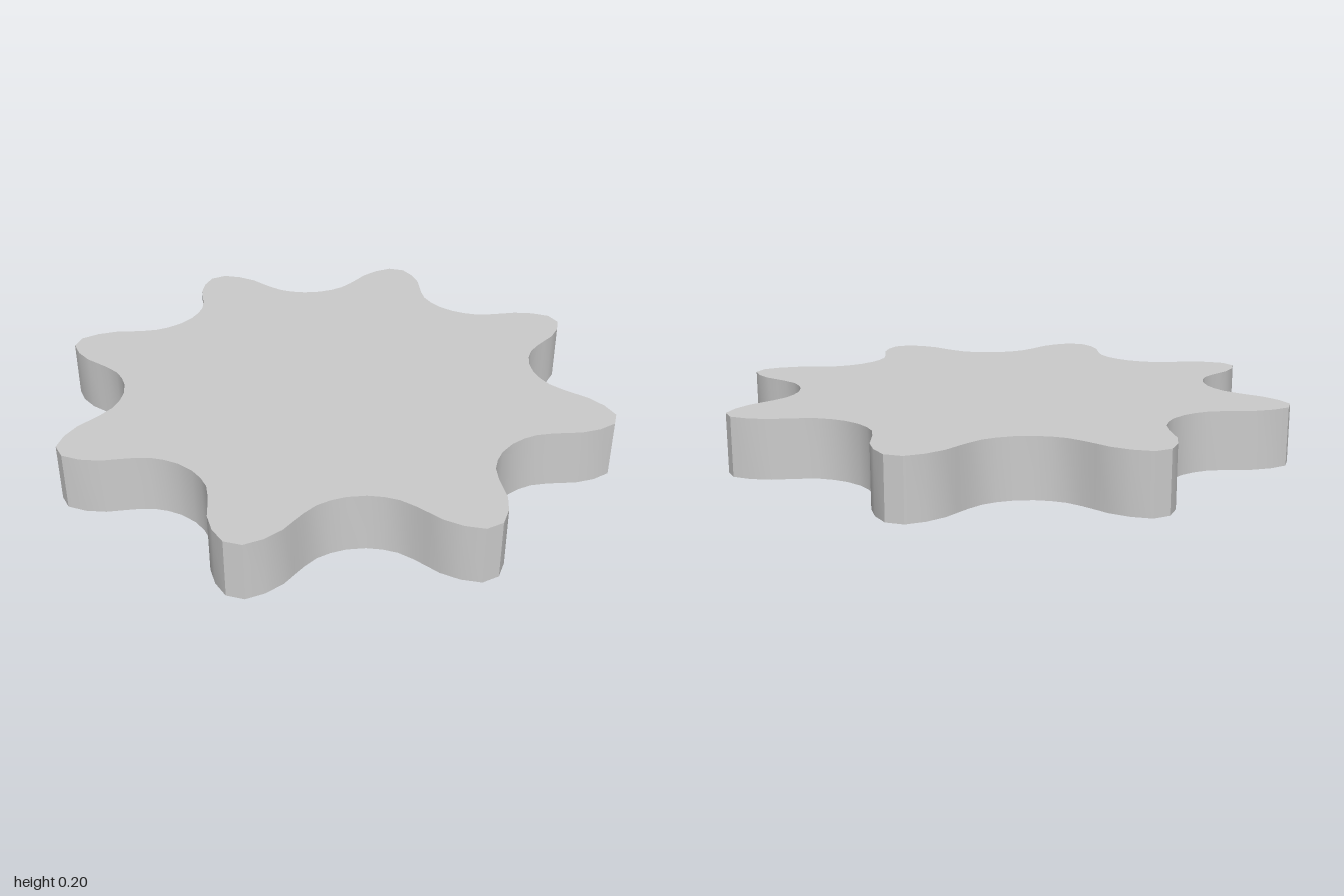
import * as THREE from 'three';
import { toCreasedNormals } from 'three/addons/utils/BufferGeometryUtils.js';

const LOBES = 8;
const HEIGHT = 0.2;

// Half a lobe, from the flat tip down to the valley: [sideways, outwards]
const HALF_LOBE = [
  [0.03, 1.0], [0.08, 0.957], [0.118, 0.9], [0.135, 0.852], [0.152, 0.807],
  [0.177, 0.757], [0.21, 0.721], [0.252, 0.69],
];

// Rounded star: the half lobe is mirrored and repeated around the centre
function starShape() {
  const lobe = [
    ...HALF_LOBE.map(([s, r]) => new THREE.Vector2(r, -s)).reverse(),
    ...HALF_LOBE.map(([s, r]) => new THREE.Vector2(r, s)),
  ];
  const centre = new THREE.Vector2();
  const outline = [];
  for (let i = 0; i < LOBES; i++) {
    const angle = (i / LOBES) * Math.PI * 2;
    outline.push(...lobe.map((p) => p.clone().rotateAround(centre, angle)));
  }
  return new THREE.Shape(outline);
}

export function createModel() {
  const group = new THREE.Group();
  group.name = 'lobedPlate';

  // Flat plate: smooth flanks, sharp rims and sharp edges at the lobe tips
  const geometry = new THREE.ExtrudeGeometry(starShape(), { depth: HEIGHT, bevelEnabled: false });
  geometry.rotateX(-Math.PI / 2);
  const plate = new THREE.Mesh(
    toCreasedNormals(geometry, Math.PI / 6),
    new THREE.MeshStandardMaterial({ color: 0xcccccc }),
  );
  plate.name = 'starPlate';
  group.add(plate);
  return group;
}
